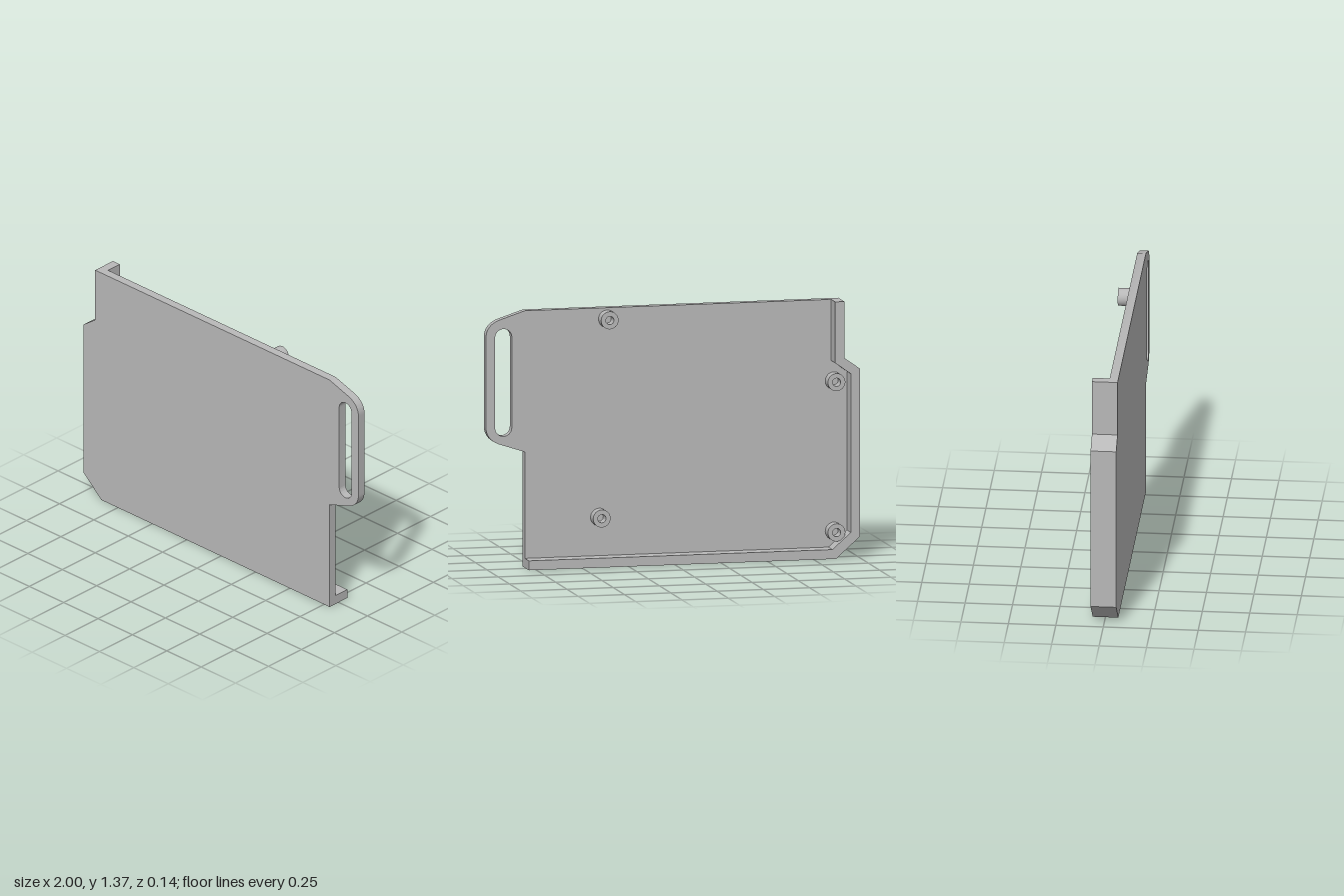
import * as THREE from 'three';
import { toCreasedNormals } from 'three/addons/utils/BufferGeometryUtils.js';

const FRONT = 0.068, FLOOR = 0.022, BACK = -0.067, BOSS_END = -0.038;

// Extrudes a flat shape between two z planes, keeping hard edges sharp
function slab(name, shape, z0, z1, material) {
  const geometry = new THREE.ExtrudeGeometry(shape, { depth: z1 - z0, bevelEnabled: false, curveSegments: 16 });
  geometry.translate(0, 0, z0);
  const mesh = new THREE.Mesh(toCreasedNormals(geometry, 0.5), material);
  mesh.name = name;
  return mesh;
}

export function createModel() {
  const group = new THREE.Group();
  group.name = 'coverPanel';
  const grey = new THREE.MeshStandardMaterial({ color: 0xb8b8b8 });
  grey.name = 'plain grey';

  // Outer left and bottom edge, shared by the plate and the rim
  const edge = [[-0.915, 1.365], [-0.915, 1.065], [-1, 1.005], [-1, 0.115], [-0.87, 0], [0.79, 0]];

  // Front plate with the rounded handle tab
  const plate = new THREE.Shape();
  edge.forEach(([x, y], i) => (i ? plate.lineTo(x, y) : plate.moveTo(x, y)));
  plate.lineTo(0.79, 0.615);
  plate.lineTo(0.925, 0.659);
  plate.bezierCurveTo(0.97, 0.674, 1, 0.705, 1, 0.755);
  plate.lineTo(1, 1.225);
  plate.bezierCurveTo(1, 1.275, 0.97, 1.306, 0.925, 1.321);
  plate.lineTo(0.79, 1.365);
  plate.closePath();

  // Handle slot
  const slot = new THREE.Path();
  slot.absarc(0.905, 1.227, 0.045, 0, Math.PI, false);
  slot.absarc(0.905, 0.747, 0.045, Math.PI, Math.PI * 2, false);
  slot.closePath();
  plate.holes.push(slot);
  group.add(slab('frontPlate', plate, FLOOR, FRONT, grey));

  // Raised rim along the left and bottom edges
  const inner = [[0.79, 0.05], [-0.85, 0.05], [-0.95, 0.137], [-0.95, 0.98], [-0.865, 1.04], [-0.865, 1.365]];
  const rim = new THREE.Shape([...edge, ...inner].map(([x, y]) => new THREE.Vector2(x, y)));
  group.add(slab('rim', rim, BACK, FLOOR, grey));

  // Hollow screw bosses on the back
  for (const [x, y] of [[0.345, 1.306], [0.388, 0.255], [-0.88, 0.933], [-0.88, 0.135]]) {
    const ring = new THREE.Shape();
    ring.absarc(x, y, 0.047, 0, Math.PI * 2, false);
    const hole = new THREE.Path();
    hole.absarc(x, y, 0.022, 0, Math.PI * 2, true);
    ring.holes.push(hole);
    group.add(slab('screwBoss', ring, BOSS_END, FLOOR, grey));
  }
  return group;
}
